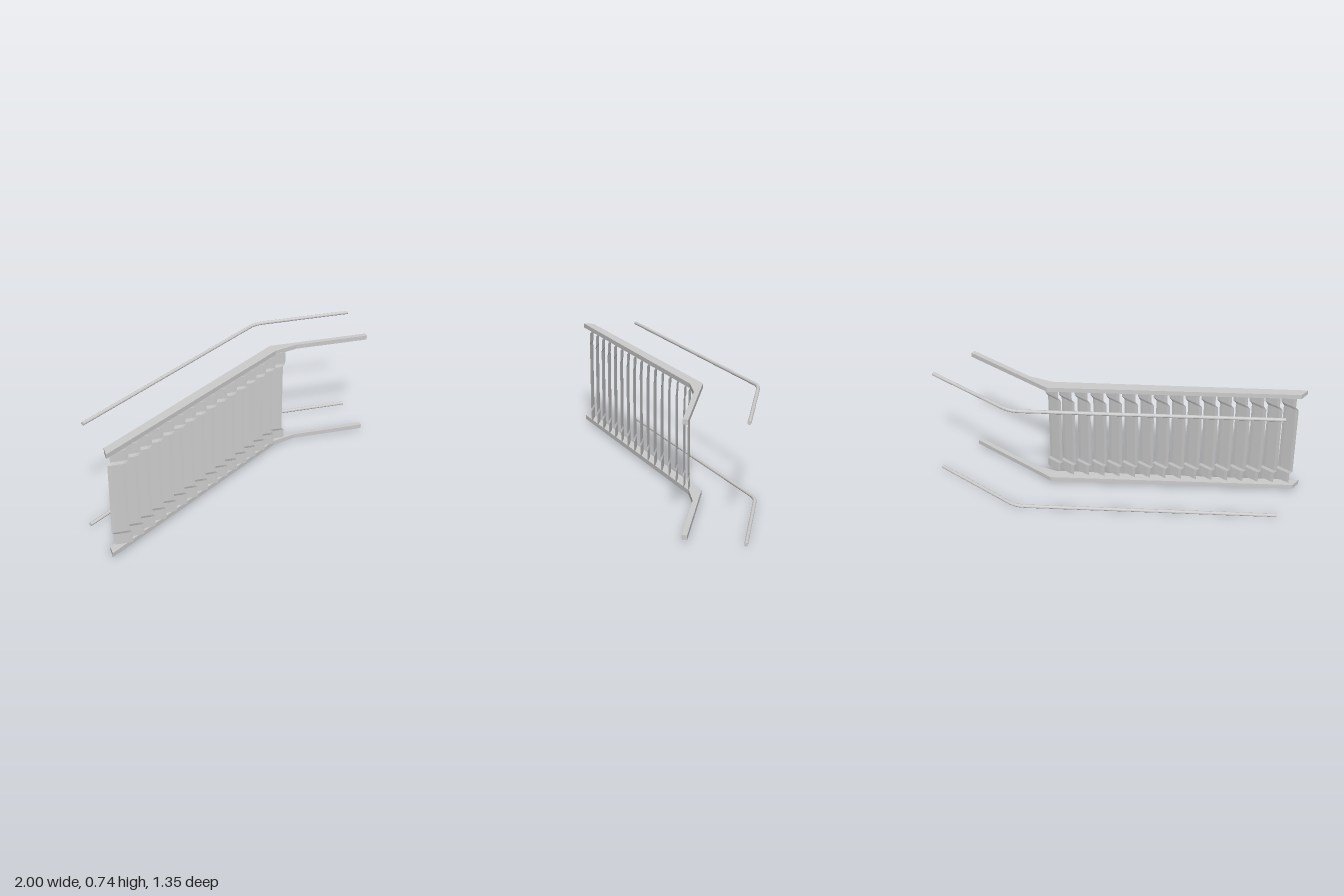
import * as THREE from 'three';

const material = new THREE.MeshStandardMaterial({ color: 0xcccccc, flatShading: true });

function addMesh(parent, name, geometry) {
  const mesh = new THREE.Mesh(geometry, material);
  mesh.name = name;
  parent.add(mesh);
  return mesh;
}

// Flat angled rail, outlined in plan as [x, z] and given a thickness in y
function railGeometry() {
  const plan = [[-0.92, 0.67], [0.355, -0.255], [0.51, -0.3], [1, -0.3],
    [1, -0.332], [0.34, -0.332], [-0.92, 0.6]];
  const shape = new THREE.Shape(plan.map(([x, z]) => new THREE.Vector2(x, -z)));
  return new THREE.ExtrudeGeometry(shape, { depth: 0.029, bevelEnabled: false }).rotateX(-Math.PI / 2);
}

// Round bar: long diagonal run, soft bend, then a straight run
function barGeometry() {
  const v = (x, z) => new THREE.Vector3(x, 0, z);
  const path = new THREE.CurvePath();
  path.add(new THREE.LineCurve3(v(-0.992, 0.309), v(0.29, -0.63)));
  path.add(new THREE.QuadraticBezierCurve3(v(0.29, -0.63), v(0.335, -0.664), v(0.4, -0.664)));
  path.add(new THREE.LineCurve3(v(0.4, -0.664), v(1, -0.664)));
  const circle = new THREE.Shape().absarc(0, 0, 0.011, 0, Math.PI * 2);
  return new THREE.ExtrudeGeometry(circle, { steps: 90, curveSegments: 12, extrudePath: path });
}

// Thin lens-section slat whose two ends are jogged sideways
function slatGeometry(bottom, top) {
  const section = [[-0.054, 0], [-0.033, 0.0025], [0.033, 0.0025],
    [0.054, 0], [0.033, -0.0025], [-0.033, -0.0025]];
  const levels = [[bottom, 1], [0.125, 1], [0.142, 0], [0.612, 0], [0.63, 1], [top, 1]];
  const n = section.length;
  const positions = [];
  const index = [];
  for (const [y, jog] of levels) {
    for (const [x, z] of section) positions.push(x + jog * 0.017, y, z - jog * 0.006);
  }
  for (let i = 0; i < levels.length - 1; i++) {
    for (let j = 0; j < n; j++) {
      const a = i * n + j;
      const b = i * n + (j + 1) % n;
      index.push(a, b, b + n, a, b + n, a + n);
    }
  }
  const last = (levels.length - 1) * n;
  for (let j = 1; j < n - 1; j++) {
    index.push(0, j + 1, j, last, last + j, last + j + 1);
  }
  const geometry = new THREE.BufferGeometry();
  geometry.setAttribute('position', new THREE.Float32BufferAttribute(positions, 3));
  geometry.setIndex(index);
  const flat = geometry.toNonIndexed();
  flat.computeVertexNormals();
  return flat;
}

export function createModel() {
  const model = new THREE.Group();
  model.name = 'slattedScreen';

  // Lower and upper rails
  const rail = railGeometry();
  addMesh(model, 'lowerRail', rail).position.y = 0.016;
  addMesh(model, 'upperRail', rail).position.y = 0.704;

  // Lower and upper round bars set behind the rails
  const bar = barGeometry();
  addMesh(model, 'lowerBar', bar).position.y = 0.012;
  addMesh(model, 'upperBar', bar).position.y = 0.733;

  // Stepped row of slats; the last sits shorter and closer to the bend
  const slats = new THREE.Group();
  slats.name = 'slats';
  model.add(slats);
  const count = 16;
  const slat = slatGeometry(0.05, 0.7);
  const endSlat = slatGeometry(0.066, 0.712);
  for (let i = 0; i < count; i++) {
    const isLast = i === count - 1;
    const mesh = addMesh(slats, isLast ? 'endSlat' : 'slat', isLast ? endSlat : slat);
    mesh.position.set(-0.853 + i * 0.0803, 0, isLast ? -0.252 : 0.603 - i * 0.0583);
  }
  return model;
}
